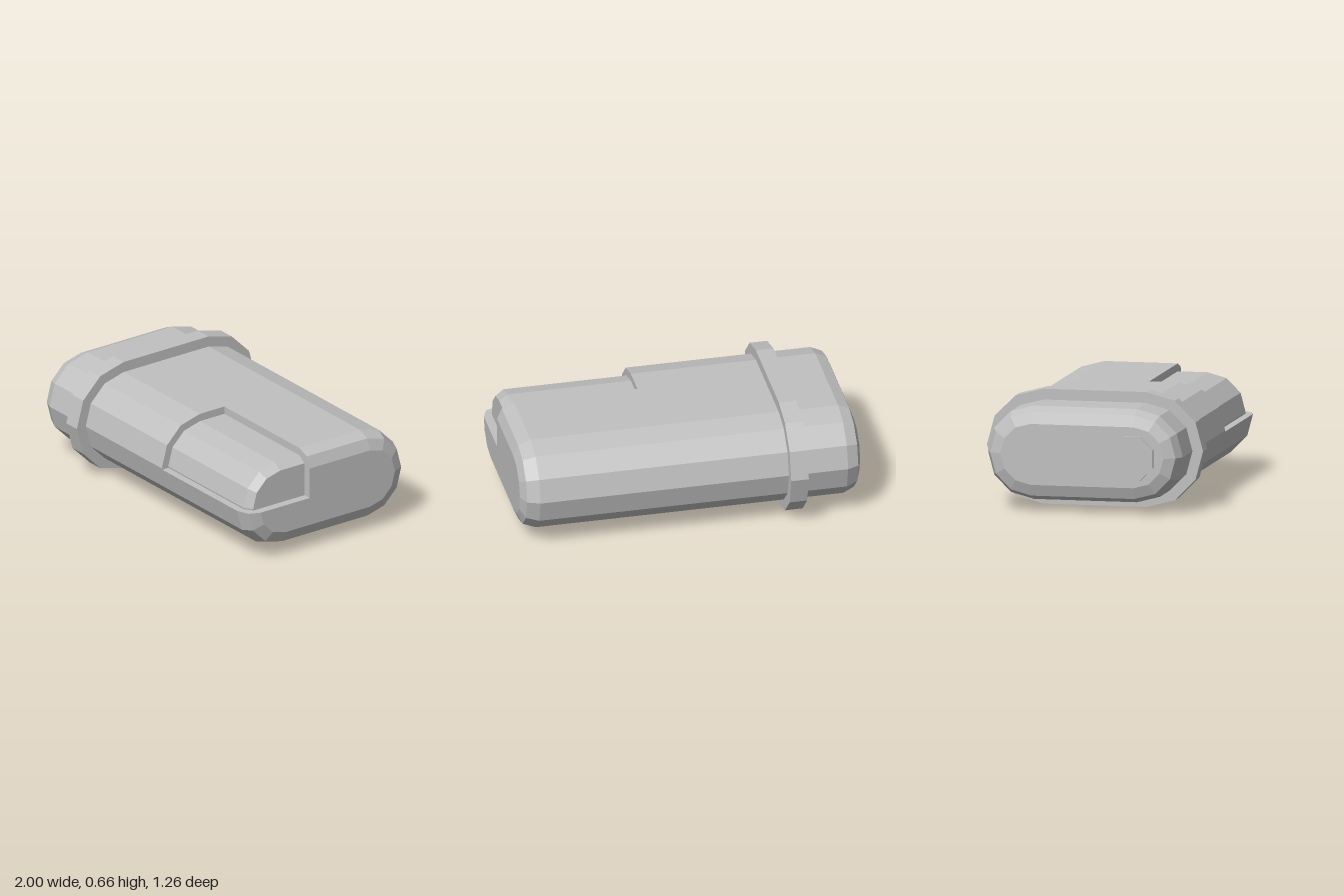
import * as THREE from 'three';

const MID = 0.331, HALF = 0.3;          // centre height and half straight of the rounded section
const CUT_Z = 0.127, CUT_Y = 0.323;     // inner corner of the front notch
const CUT_X = 0.183;                    // where the notch starts

// Point [z, y] on the rounded section of radius r, every 30 degrees
const arc = (r, from, to, side) => {
  const pts = [];
  for (let d = from; d <= to; d += 30) {
    const a = THREE.MathUtils.degToRad(d);
    pts.push([side * HALF + r * Math.cos(a), MID + r * Math.sin(a)]);
  }
  return pts;
};
const cutEdge = (r) => [HALF + r - (MID - CUT_Y) * 0.268, CUT_Y];

// Whole section, section without the notch, and the notch's own quarter
const full = (r) => [...arc(r, -90, 90, 1), ...arc(r, 90, 270, -1)];
const notched = (r) => [[CUT_Z, CUT_Y], [CUT_Z, MID + r], ...arc(r, 90, 270, -1),
  ...arc(r, -90, -30, 1), cutEdge(r)];
const quarter = (r) => [[CUT_Z, CUT_Y], cutEdge(r), ...arc(r, 0, 90, 1), [CUT_Z, MID + r]];

// Skin a section along x through rings of [x, radius], with optional end caps
function loft(section, rings, capStart = true, capEnd = true) {
  const pos = [];
  const loops = rings.map(([x, r]) => section(r).map(([z, y]) => [x, y, z]));
  for (let k = 0; k < loops.length - 1; k++) {
    const p = loops[k], q = loops[k + 1], n = p.length;
    for (let i = 0; i < n; i++) {
      const j = (i + 1) % n;
      pos.push(...p[i], ...q[i], ...q[j], ...p[i], ...q[j], ...p[j]);
    }
  }
  const cap = (loop, dir) => {
    const flat = loop.map((v) => new THREE.Vector2(v[2], v[1]));
    for (const [a, b, c] of THREE.ShapeUtils.triangulateShape(flat, [])) {
      const turn = flat[b].clone().sub(flat[a]).cross(flat[c].clone().sub(flat[a]));
      const order = turn * dir < 0 ? [a, b, c] : [a, c, b];
      order.forEach((i) => pos.push(...loop[i]));
    }
  };
  if (capStart) cap(loops[0], -1);
  if (capEnd) cap(loops[loops.length - 1], 1);
  const geo = new THREE.BufferGeometry();
  geo.setAttribute('position', new THREE.Float32BufferAttribute(pos, 3));
  geo.computeVertexNormals();
  return geo;
}

export function createModel() {
  const group = new THREE.Group();
  const grey = new THREE.MeshStandardMaterial({ color: 0xc0c0c0, flatShading: true });
  grey.name = 'light grey';
  const add = (name, geo) => {
    const mesh = new THREE.Mesh(geo, grey);
    mesh.name = name;
    group.add(mesh);
    return mesh;
  };

  // Main shell: plain length with a bevelled end, then the notched length
  add('bodyMain', loft(full, [[-0.98, 0.175], [-0.955, 0.24], [-0.89, 0.268], [CUT_X, 0.268]]));
  add('bodyNotched', loft(notched, [[CUT_X, 0.268], [0.9, 0.268], [0.972, 0.24], [1, 0.175]], false));

  // Recessed block in the notch
  add('recessedPanel', loft(quarter, [[CUT_X, 0.223], [0.9, 0.223], [0.95, 0.19]], false));

  // Raised band around the shell
  add('collar', loft(full, [[-0.647, 0.33], [-0.545, 0.33]]));

  // Eight-sided button on the end
  const button = add('endButton', new THREE.CylinderGeometry(0.1365, 0.1365, 0.04, 8));
  button.geometry.rotateY(Math.PI / 8).rotateZ(Math.PI / 2);
  button.position.set(-0.98, 0.328, 0.29);

  return group;
}
